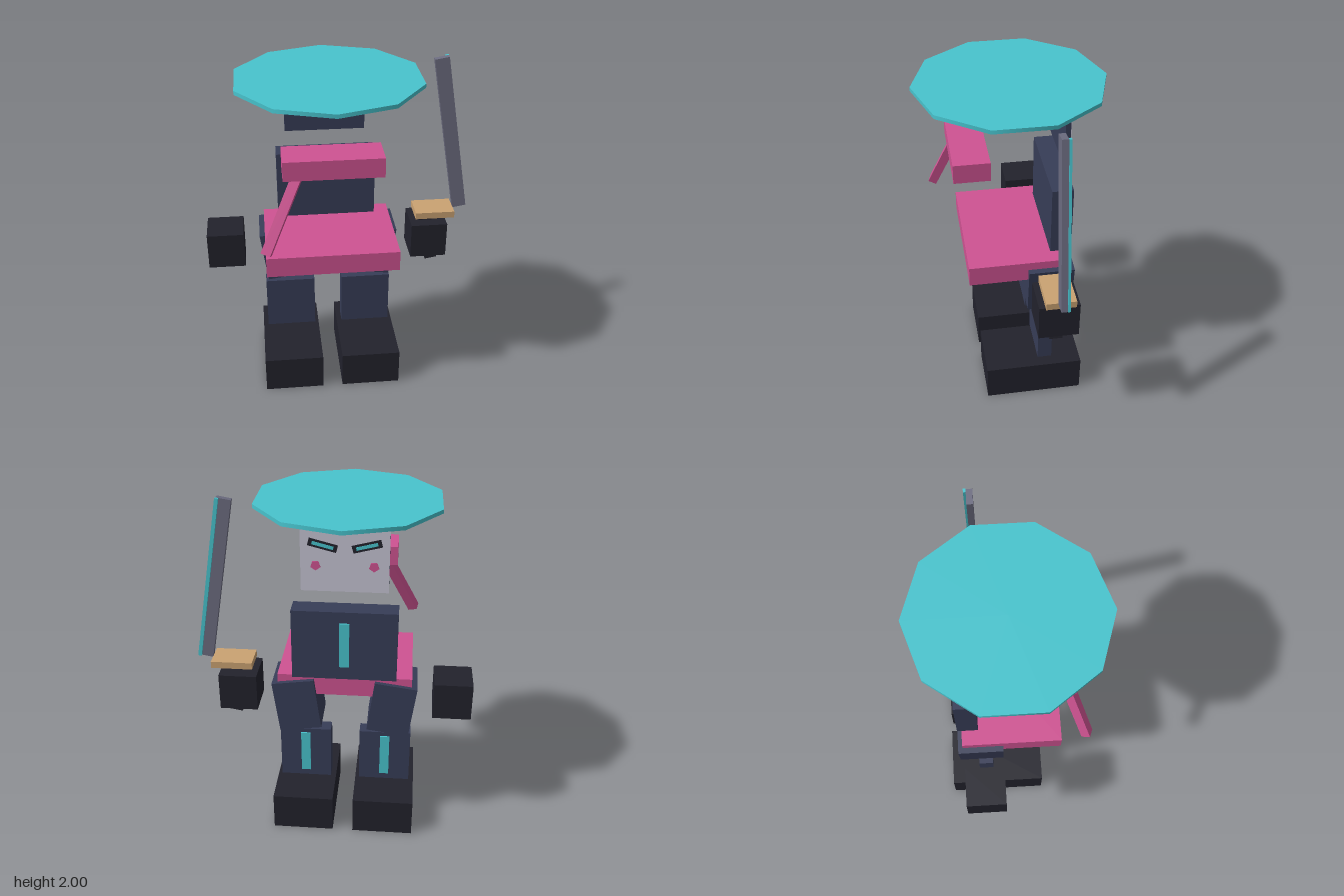
import * as THREE from 'three';

const paint = (name, color) => {
  const m = new THREE.MeshStandardMaterial({ color });
  m.name = name;
  return m;
};

export function createModel() {
  const model = new THREE.Group();
  model.name = 'blockFigure';

  const teal = paint('teal', 0x48c4ce);
  const navy = paint('navy', 0x373d57);
  const dark = paint('charcoal', 0x22222c);
  const pink = paint('pink', 0xcf5392);
  const tan = paint('tan', 0xcaa272);
  const steel = paint('steel', 0x6c6c80);
  const pale = paint('pale', 0xc6c4d4);

  const MID = -0.07; // the body's own centre line

  function add(name, geometry, material, x, y, z, tilt = 0, parent = model) {
    const mesh = new THREE.Mesh(geometry, material);
    mesh.name = name;
    mesh.position.set(x, y, z);
    mesh.rotation.z = tilt;
    parent.add(mesh);
    return mesh;
  }
  const box = (name, material, [w, h, d], [x, y, z], tilt = 0, parent = model) =>
    add(name, new THREE.BoxGeometry(w, h, d), material, x, y, z, tilt, parent);

  // Hat: a thin ten-sided disc
  add('hat', new THREE.CylinderGeometry(0.523, 0.523, 0.022, 10), teal, MID, 1.955, 0);

  // Head slab with the face on its -z side
  box('head', navy, [0.465, 0.4, 0.028], [MID, 1.745, -0.276]);
  box('face', pale, [0.465, 0.4, 0.004], [MID, 1.745, -0.292]);

  // Scarf and its hanging tail
  box('scarf', pink, [0.54, 0.11, 0.2], [MID, 1.58, 0.24]);
  const top = new THREE.Vector3(-0.255, 1.54, 0.282);
  const end = new THREE.Vector3(-0.445, 1.135, 0.418);
  const tail = box('scarfTail', pink, [0.055, top.distanceTo(end), 0.05], [0, 0, 0]);
  tail.position.copy(top).add(end).multiplyScalar(0.5);
  tail.quaternion.setFromUnitVectors(
    new THREE.Vector3(0, 1, 0), top.clone().sub(end).normalize());
  tail.rotateY(-0.3);

  // Torso and hips
  box('torso', navy, [0.58, 0.41, 0.12], [MID, 1.225, -0.25]);
  box('torsoStripe', teal, [0.055, 0.265, 0.009], [MID, 1.2325, -0.3145]);
  box('hips', pink, [0.756, 0.12, 0.57], [MID, 0.96, 0]);

  // Mirrored parts
  for (const s of [-1, 1]) {
    const side = s > 0 ? 'left' : 'right';

    // Eye with glowing slit, and cheek
    const eye = [MID + s * 0.115, 1.802];
    box(side + 'Eye', dark, [0.155, 0.042, 0.003], [...eye, -0.2955], s * 0.25);
    box(side + 'EyeSlit', teal, [0.115, 0.018, 0.003], [...eye, -0.2975], s * 0.25);
    add(side + 'Cheek', new THREE.CylinderGeometry(0.028, 0.028, 0.004, 5).rotateX(Math.PI / 2),
      pink, MID + s * 0.153, 1.69, -0.296);

    // Leg
    box(side + 'Thigh', navy, [0.24, 0.31, 0.26], [MID + s * 0.27, 0.829, -0.18], s * -0.135);
    box(side + 'Shin', navy, [0.3, 0.333, 0.085], [MID + s * 0.235, 0.435, -0.157]);
    box(side + 'ShinStripe', teal, [0.055, 0.265, 0.009], [MID + s * 0.235, 0.4425, -0.204]);
    box(side + 'Foot', dark, [0.355, 0.225, 0.58], [MID + s * 0.2375, 0.1125, -0.09]);

    // Floating hand
    box(side + 'Hand', dark, [0.217, 0.217, 0.225], [MID + s * 0.611, 0.877, -0.162]);
  }

  // Sword held in the left hand
  const LEAN = 0.17;
  box('swordGrip', dark, [0.075, 0.302, 0.075], [0.55, 0.858, -0.156], LEAN);
  box('swordGuard', tan, [0.235, 0.04, 0.165], [0.5775, 1.035, -0.16]);
  const blade = new THREE.Group();
  blade.name = 'swordBlade';
  blade.position.set(0.655, 1.525, -0.158);
  blade.rotation.z = LEAN;
  model.add(blade);
  box('bladeCore', steel, [0.082, 0.95, 0.034], [0, 0, 0], 0, blade);
  box('bladeEdge', teal, [0.02, 0.95, 0.014], [0.034, 0, -0.024], 0, blade);

  return model;
}
